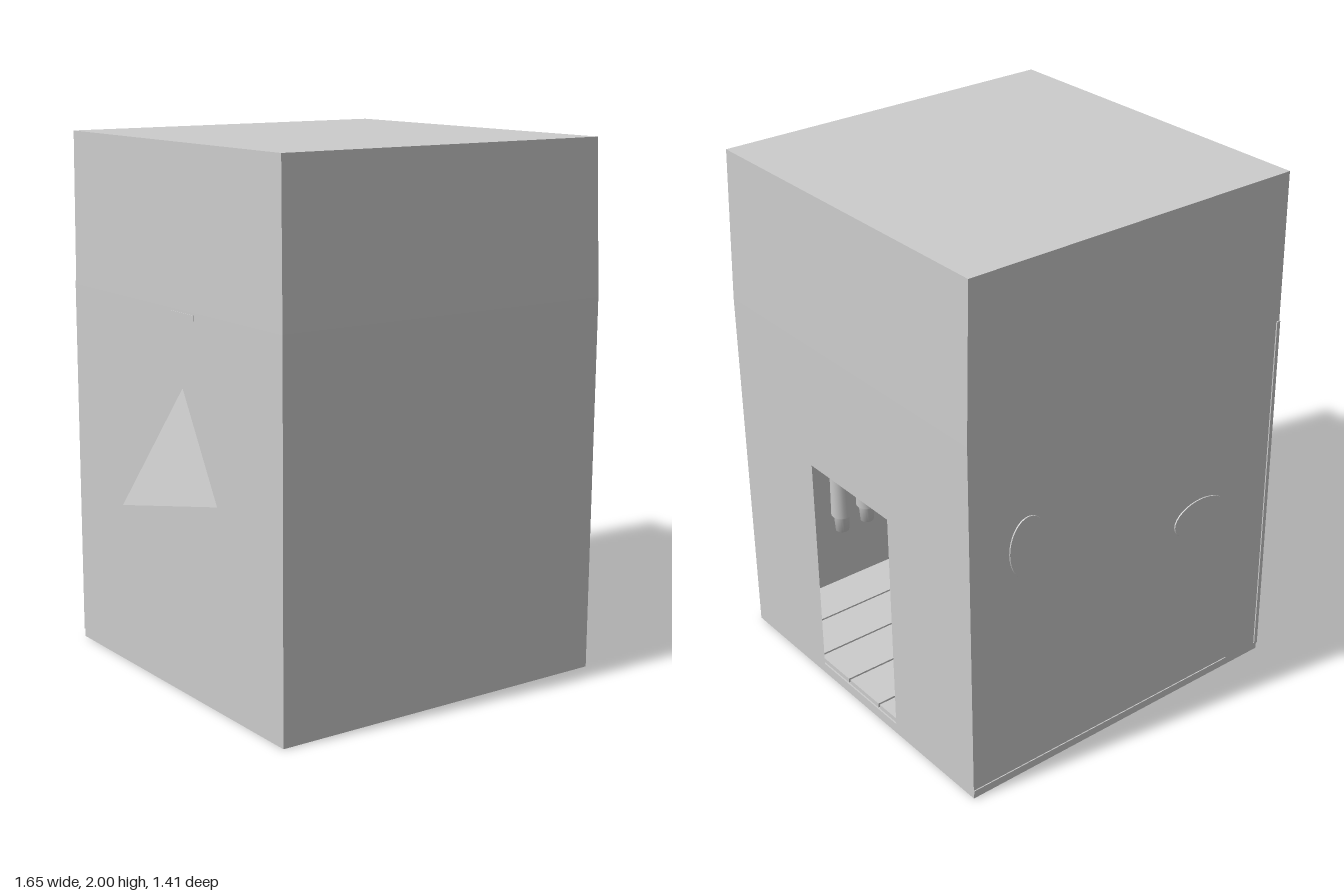
import * as THREE from 'three';
import { ConvexGeometry } from 'three/addons/geometries/ConvexGeometry.js';

const X0 = -0.57, X1 = 0.825, Z0 = -0.695, Z1 = 0.705, BEND = 1.42, T = 0.02;
const grey = new THREE.MeshStandardMaterial({ color: 0xcccccc });
const flat = new THREE.MeshStandardMaterial({ color: 0xcccccc, flatShading: true });

export function createModel() {
  const model = new THREE.Group();
  const add = (name, geo, mat = flat, parent = model) => {
    const m = new THREE.Mesh(geo, mat);
    m.name = name;
    parent.add(m);
    return m;
  };
  // Box given by its lower and upper corners
  const box = (name, x0, x1, y0, y1, z0, z1, parent) =>
    add(name, new THREE.BoxGeometry(x1 - x0, y1 - y0, z1 - z0)
      .translate((x0 + x1) / 2, (y0 + y1) / 2, (z0 + z1) / 2), flat, parent);
  // Round bar between two points
  const bar = (name, a, b, r0, r1 = r0, parent = model) => {
    const p = new THREE.Vector3(...a), q = new THREE.Vector3(...b), d = q.clone().sub(p);
    const m = add(name, new THREE.CylinderGeometry(r1, r0, d.length(), 20), grey, parent);
    m.position.copy(p).add(q).multiplyScalar(0.5);
    m.quaternion.setFromUnitVectors(new THREE.Vector3(0, 1, 0), d.normalize());
    return m;
  };
  // Upper wall corners lean slightly at the roof line
  const lean = (geo) => {
    const p = geo.attributes.position;
    for (let i = 0; i < p.count; i++) {
      if (p.getY(i) < 1.9) continue;
      p.setX(i, THREE.MathUtils.mapLinear(p.getX(i), X0, X1, -0.56, 0.815));
      p.setZ(i, THREE.MathUtils.mapLinear(p.getZ(i), Z0, Z1, -0.703, 0.685));
    }
    return geo;
  };

  // Walls: straight lower part, leaning upper part
  const walls = [
    ['frontWall', X0, X1, Z1 - T, Z1], ['backWall', X0, X1, Z0, Z0 + T],
    ['leftwardWall', X1 - T, X1, Z0 + T, Z1 - T], ['rightwardWall', X0, X0 + T, Z0 + T, Z1 - T],
  ];
  for (const [name, x0, x1, z0, z1] of walls) {
    if (name !== 'leftwardWall') box(name, x0, x1, T, BEND, z0, z1);
    lean(box(name + 'Upper', x0, x1, BEND, 2, z0, z1).geometry);
  }
  // Lower wall with the doorway
  const s = new THREE.Shape([[Z0 + T, T], [Z1 - T, T], [Z1 - T, BEND], [Z0 + T, BEND]]
    .map(([z, y]) => new THREE.Vector2(-z, y)));
  s.holes.push(new THREE.Path([[-0.23, 0.04], [0.24, 0.04], [0.24, 0.925], [-0.23, 0.925]]
    .map(([z, y]) => new THREE.Vector2(-z, y))));
  add('doorWall', new THREE.ExtrudeGeometry(s, { depth: T, bevelEnabled: false })
    .rotateY(Math.PI / 2).translate(X1 - T, 0, 0));
  lean(box('ceiling', X0, X1, 1.98, 2, Z0, Z1).geometry);
  box('base', X0, X1, 0, T, Z0, Z1);

  // Floor planks
  const n = 7, w = (Z1 - Z0 - 2 * T) / n;
  for (let i = 0; i < n; i++) {
    const z = Z0 + T + i * w;
    box('floorPlank', X0 + T, X1 - T, T, 0.038, z + 0.004, z + w - 0.004);
  }

  // Pointed spike on the outer wall
  add('wallSpike', new ConvexGeometry([
    [-0.57, 1.14, 0.08], [-0.57, 0.75, -0.14], [-0.57, 0.755, 0.3], [-0.83, 0.76, 0.1],
  ].map((p) => new THREE.Vector3(...p))));
  box('wallSlit', X0 - 0.003, X0, 1.39, 1.41, 0.01, 0.16);

  // Raised ovals and thin trim on the back wall
  const oval = (x, y, rx, ry) => {
    const m = add('backOval', new THREE.CylinderGeometry(1, 1, 0.008, 32).rotateX(Math.PI / 2), grey);
    m.scale.set(rx, ry, 1);
    m.position.set(x, y, Z0 - 0.001);
  };
  oval(0.58, 0.95, 0.08, 0.12);
  oval(-0.22, 0.75, 0.125, 0.075);
  box('cornerTrim', X0, X0 + 0.015, 0.03, 1.43, Z0 - 0.005, Z0);
  box('footTrim', -0.4, X1, 0.02, 0.035, Z0 - 0.004, Z0);

  // Pipe run along the inner wall
  const px = -0.51;
  bar('pipeLower', [px, 0.04, 0.005], [px, 0.55, 0.01], 0.022, 0.026);
  bar('pipeUpper', [px, 0.55, 0.01], [px, 0.755, 0.01], 0.021);
  bar('pipeAcross', [px, 0.755, 0.03], [px, 0.755, -0.45], 0.025);
  bar('pipeCollar', [px, 0.755, -0.065], [px, 0.755, -0.078], 0.032);
  bar('pipeValve', [px, 0.755, -0.17], [px + 0.06, 0.755, -0.17], 0.022);
  add('pipeElbow', new THREE.SphereGeometry(0.027, 20, 12), grey).position.set(px, 0.755, 0.01);

  // Cabinet beside the pipe
  box('cabinet', X0 + T, -0.3, 0.04, 0.6, -0.55, -0.205);
  box('cabinetTop', X0 + T, -0.29, 0.6, 0.62, -0.56, -0.195);
  bar('cabinetRod', [-0.31, 0.4, -0.188], [-0.31, 0.58, -0.188], 0.004);

  // Diamond ornament on the inner wall
  const kite = (a, b) => [[0, b], [a, 0], [0, -b], [-a, 0]].map(([x, y]) => new THREE.Vector2(x, y));
  const d = new THREE.Shape(kite(0.047, 0.09));
  d.holes.push(new THREE.Path(kite(0.036, 0.069)));
  add('diamondFrame', new THREE.ExtrudeGeometry(d, { depth: 0.015, bevelEnabled: false })
    .rotateY(Math.PI / 2).translate(X0 + T, 0.875, 0.085));
  add('diamondRing', new THREE.TorusGeometry(0.02, 0.006, 10, 28)
    .rotateY(Math.PI / 2).translate(X0 + T + 0.008, 0.875, 0.085), grey);

  // Chair with splayed legs and an open back
  const chair = new THREE.Group();
  chair.name = 'chair';
  chair.position.set(0.55, 0.04, -0.44);
  model.add(chair);
  box('seat', -0.19, 0.19, 0.19, 0.22, -0.15, 0.15, chair);
  for (const sx of [-1, 1]) {
    for (const sz of [-1, 1])
      bar('chairLeg', [sx * 0.16, 0, sz * 0.14], [sx * 0.13, 0.19, sz * 0.11], 0.013, 0.018, chair);
    bar('backPost', [sx * 0.16, 0.22, -0.13], [sx * 0.17, 0.55, -0.18], 0.012, 0.012, chair);
  }
  box('backRail', -0.18, 0.18, 0.5, 0.55, -0.19, -0.17, chair);

  // Trousers hung from a rail near the front wall
  bar('hangingRail', [0.3, 1.3, 0.45], [X1 - T, 1.3, 0.45], 0.012);
  const leg = [[0, 0], [0.026, 0], [0.03, 0.06], [0.04, 0.07], [0.037, 0.3], [0.05, 0.5], [0.065, 0.8], [0, 0.84]]
    .map(([r, y]) => new THREE.Vector2(r, y));
  for (const sx of [-1, 1])
    add('trouserLeg', new THREE.LatheGeometry(leg, 20), grey).position.set(0.52 + sx * 0.058, 0.45, 0.45);
  return model;
}
